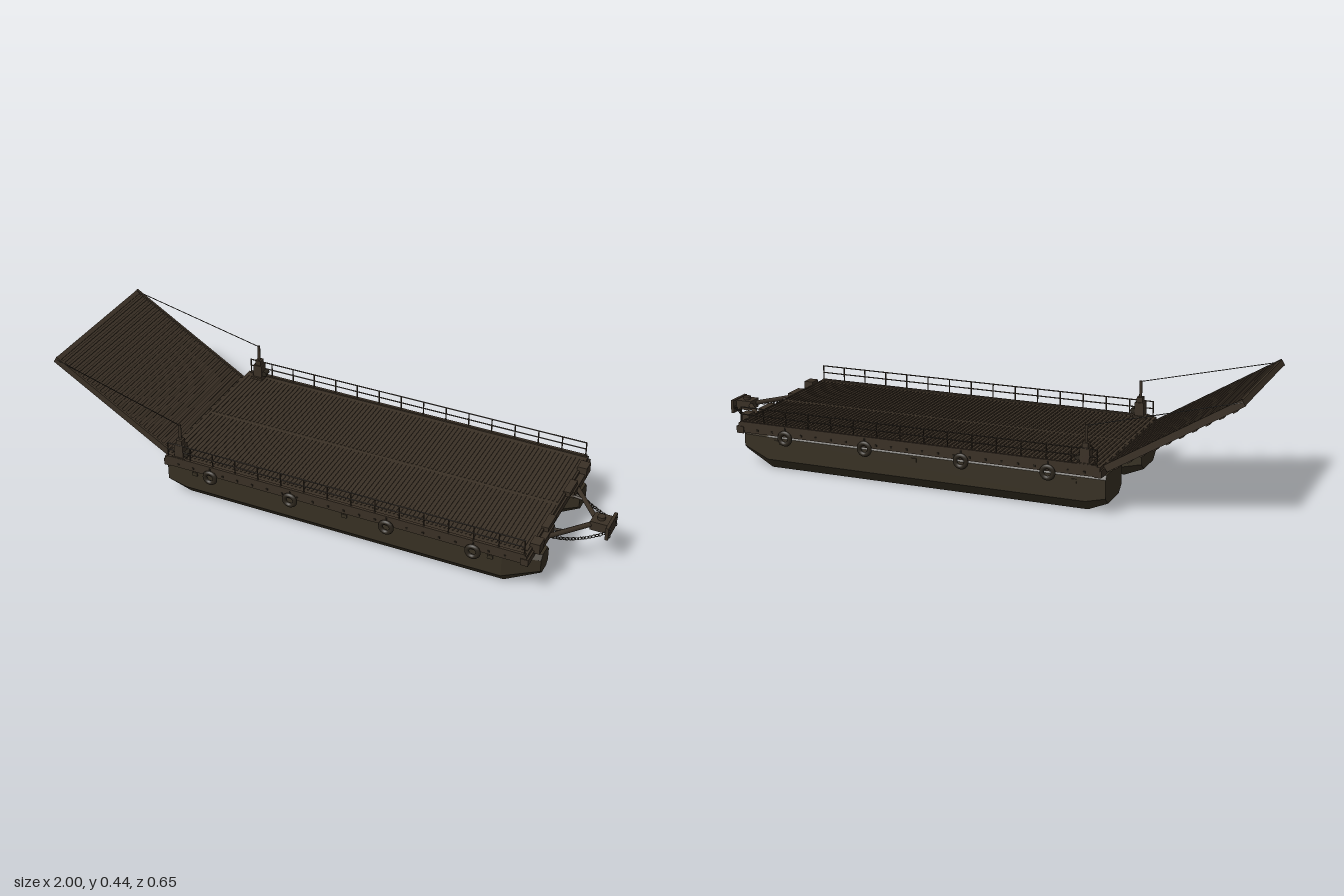
import * as THREE from 'three';

const steel = new THREE.MeshStandardMaterial({ color: 0x3a3025 });
steel.name = 'brownSteel';
const hullPaint = new THREE.MeshStandardMaterial({ color: 0x373023 });
hullPaint.name = 'hullPaint';
const dark = new THREE.MeshStandardMaterial({ color: 0x2a241b });
dark.name = 'darkRubberAndCable';

function add(parent, name, geometry, material, x = 0, y = 0, z = 0) {
  const mesh = new THREE.Mesh(geometry, material);
  mesh.name = name;
  mesh.position.set(x, y, z);
  parent.add(mesh);
  return mesh;
}

// Box given by its low and high corners
function box(parent, name, x0, x1, y0, y1, z0, z1, material = steel) {
  return add(parent, name, new THREE.BoxGeometry(x1 - x0, y1 - y0, Math.abs(z1 - z0)), material,
    (x0 + x1) / 2, (y0 + y1) / 2, (z0 + z1) / 2);
}

// Round bar between two points
function bar(parent, name, a, b, r, material = steel, sides = 6) {
  const p = new THREE.Vector3(...a), q = new THREE.Vector3(...b);
  const mesh = add(parent, name, new THREE.CylinderGeometry(r, r, p.distanceTo(q), sides), material);
  mesh.position.copy(p).lerp(q, 0.5);
  mesh.quaternion.setFromUnitVectors(new THREE.Vector3(0, 1, 0), q.sub(p).normalize());
  return mesh;
}

// Faceted pontoon lofted through eight-sided sections
function pontoonGeometry() {
  // x, bottom half width, bottom y, side half width, lower y, upper y, top half width, top y
  const sections = [
    [-0.55, 0.056, 0.03, 0.086, 0.055, 0.12, 0.076, 0.134],
    [-0.48, 0.053, 0, 0.086, 0.038, 0.12, 0.076, 0.134],
    [0.71, 0.053, 0, 0.086, 0.038, 0.12, 0.076, 0.134],
    [0.83, 0.022, 0.047, 0.038, 0.063, 0.106, 0.024, 0.122],
  ].map(([x, hb, yb, hs, yl, yu, ht, yt]) => [
    [hb, yb], [-hb, yb], [-hs, yl], [-hs, yu], [-ht, yt], [ht, yt], [hs, yu], [hs, yl],
  ].map(([z, y]) => [x, y, z]));
  const pos = [];
  const tri = (a, b, c) => pos.push(...a, ...b, ...c);
  for (let k = 0; k < sections.length - 1; k++) {
    const s = sections[k], t = sections[k + 1];
    for (let i = 0; i < 8; i++) {
      const j = (i + 1) % 8;
      tri(s[i], s[j], t[j]);
      tri(s[i], t[j], t[i]);
    }
  }
  const first = sections[0], last = sections[sections.length - 1];
  for (let i = 1; i < 7; i++) {
    tri(last[0], last[i], last[i + 1]);
    tri(first[0], first[i + 1], first[i]);
  }
  const g = new THREE.BufferGeometry();
  g.setAttribute('position', new THREE.Float32BufferAttribute(pos, 3));
  g.computeVertexNormals();
  return g;
}

function makeDeck() {
  const deck = new THREE.Group();
  deck.name = 'deck';
  box(deck, 'deckPlate', -0.54, 0.805, 0.158, 0.172, -0.317, 0.317);
  // Fine transverse treads in two lanes, leaving a centre seam
  for (let i = 0; i < 88; i++) {
    const x = -0.53 + i * 0.0152;
    for (const s of [-1, 1]) box(deck, 'deckTread', x, x + 0.005, 0.172, 0.1745, s * 0.008, s * 0.288);
  }
  // Cross beams and stringers beneath the plate
  for (let i = 0; i < 14; i++) {
    const x = -0.52 + i * 0.1;
    box(deck, 'crossBeam', x, x + 0.018, 0.138, 0.158, -0.3, 0.3);
  }
  box(deck, 'bowBeam', 0.785, 0.812, 0.135, 0.16, -0.32, 0.32);
  box(deck, 'rampBeam', -0.545, -0.52, 0.135, 0.16, -0.315, 0.315);
  for (const s of [-1, 1]) {
    box(deck, 'sideBeam', -0.53, 0.8, 0.137, 0.158, s * 0.3, s * 0.314);
    box(deck, 'kerb', -0.53, 0.8, 0.172, 0.177, s * 0.306, s * 0.317);
    for (const z of [0.03, 0.11, 0.2]) box(deck, 'stringer', -0.52, 0.79, 0.144, 0.158, s * z, s * (z + 0.012));
    // Clamps that tie the deck to the pontoons
    for (let i = 0; i < 18; i++) {
      const x = -0.5 + i * 0.07;
      box(deck, 'pontoonClamp', x, x + 0.035, 0.128, 0.146, s * 0.106, s * 0.122);
    }
    for (let i = 0; i < 22; i++) {
      const x = -0.49 + i * 0.058;
      box(deck, 'sideBolt', x, x + 0.007, 0.146, 0.153, s * 0.314, s * 0.317, dark);
    }
  }
  return deck;
}

function makeRailing(s) {
  const rail = new THREE.Group();
  rail.name = 'railing';
  const z = s * 0.311;
  for (const y of [0.203, 0.229]) bar(rail, 'handRail', [-0.53, y, z], [0.797, y, z], 0.0022);
  for (let i = 0; i <= 15; i++) {
    const x = -0.528 + i * 0.0882;
    bar(rail, 'railPost', [x, 0.165, z], [x, 0.23, z], 0.0024);
  }
  return rail;
}

function makeRamp() {
  const ramp = new THREE.Group();
  ramp.name = 'loadingRamp';
  ramp.position.set(-0.54, 0.165, 0);
  ramp.rotation.z = -0.545;
  box(ramp, 'rampPlate', -0.525, 0, -0.012, -0.004, -0.272, 0.272);
  for (let i = 0; i < 25; i++) {
    const x = -0.5 + i * 0.02;
    box(ramp, 'rampTread', x, x + 0.009, -0.004, 0.001, -0.268, 0.268);
  }
  box(ramp, 'rampLip', -0.525, -0.508, -0.02, 0, -0.272, 0.272);
  // Ribs on the underside
  for (let i = 0; i < 10; i++) {
    const x = -0.49 + i * 0.05;
    box(ramp, 'rampRib', x, x + 0.016, -0.027, -0.012, -0.268, 0.268);
  }
  for (const s of [-1, 1]) {
    box(ramp, 'rampEdge', -0.525, 0, -0.022, 0.003, s * 0.268, s * 0.277);
    for (const z of [0.08, 0.18]) box(ramp, 'rampStringer', -0.51, -0.01, -0.022, -0.012, s * z, s * (z + 0.012));
  }
  return ramp;
}

function makeWinchTower(s) {
  const tower = new THREE.Group();
  tower.name = 'winchTower';
  box(tower, 'towerBase', -0.51, -0.462, 0.172, 0.18, s * 0.272, s * 0.316);
  box(tower, 'towerBody', -0.502, -0.468, 0.18, 0.228, s * 0.279, s * 0.313);
  box(tower, 'towerCap', -0.496, -0.474, 0.228, 0.247, s * 0.284, s * 0.308);
  bar(tower, 'towerMast', [-0.485, 0.24, s * 0.295], [-0.485, 0.306, s * 0.295], 0.0055, steel, 8);
  bar(tower, 'winchDrum', [-0.46, 0.195, s * 0.283], [-0.46, 0.195, s * 0.309], 0.01, dark, 10);
  bar(tower, 'rampCable', [-0.485, 0.303, s * 0.295], [-0.992, 0.43, s * 0.276], 0.0016, dark, 5);
  return tower;
}

function makeTowBar() {
  const tow = new THREE.Group();
  tow.name = 'towBar';
  for (const s of [-1, 1]) {
    bar(tow, 'towArm', [0.81, 0.148, s * 0.165], [0.935, 0.143, s * 0.012], 0.009, steel, 8);
    bar(tow, 'towBrace', [0.81, 0.145, s * 0.105], [0.865, 0.145, s * 0.097], 0.005);
    box(tow, 'towBracket', 0.8, 0.826, 0.137, 0.162, s * 0.1, s * 0.24);
    box(tow, 'bumperBlock', 0.795, 0.83, 0.15, 0.187, s * 0.217, s * 0.262);
    box(tow, 'lowStep', 0.795, 0.82, 0.16, 0.178, s * 0.07, s * 0.15);
    // Sagging safety chain, each link turned a quarter from the last
    const curve = new THREE.QuadraticBezierCurve3(
      new THREE.Vector3(0.822, 0.14, s * 0.14),
      new THREE.Vector3(0.9, 0.112, s * 0.105),
      new THREE.Vector3(0.99, 0.138, s * 0.036));
    for (let i = 0; i <= 18; i++) {
      const link = add(tow, 'chainLink', new THREE.TorusGeometry(0.0058, 0.0014, 5, 10), dark);
      link.position.copy(curve.getPoint(i / 18));
      const turn = new THREE.Quaternion().setFromAxisAngle(new THREE.Vector3(1, 0, 0), (i % 2) * Math.PI / 2);
      link.quaternion.setFromUnitVectors(new THREE.Vector3(1, 0, 0), curve.getTangent(i / 18)).multiply(turn);
      link.scale.x = 1.25;
    }
  }
  // Coupling head with flanges and bolts
  box(tow, 'couplingBlock', 0.925, 0.985, 0.126, 0.16, -0.03, 0.03);
  box(tow, 'couplingPlate', 0.985, 0.996, 0.115, 0.163, -0.05, 0.05);
  add(tow, 'couplingPin', new THREE.CylinderGeometry(0.014, 0.014, 0.05, 12), steel, 0.955, 0.146, 0);
  for (const y of [0.123, 0.155]) for (const z of [-0.038, 0.038]) {
    bar(tow, 'plateBolt', [0.994, y, z], [1, y, z], 0.004, dark);
  }
  return tow;
}

export function createModel() {
  const model = new THREE.Group();
  model.name = 'pontoonFerry';
  const hull = pontoonGeometry();
  model.add(makeDeck(), makeRamp(), makeTowBar());
  for (const s of [-1, 1]) {
    add(model, 'pontoon', hull, hullPaint, 0, 0, s * 0.198);
    model.add(makeRailing(s), makeWinchTower(s));
    // Tyre fenders hung along the sides
    for (const x of [-0.36, -0.05, 0.31, 0.62]) {
      const tyre = add(model, 'tyreFender', new THREE.TorusGeometry(0.02, 0.0085, 8, 20), dark, x, 0.134, s * 0.319);
      tyre.scale.z = 0.9;
      bar(model, 'fenderStrap', [x, 0.15, s * 0.318], [x, 0.172, s * 0.315], 0.003, dark);
    }
    // Mooring lugs on the pontoon sides
    for (const x of [-0.45, 0.13, 0.66]) box(model, 'hullLug', x, x + 0.02, 0.098, 0.112, s * 0.282, s * 0.288, hullPaint);
  }
  // Ramp hinges
  for (let i = 0; i < 8; i++) {
    const z = -0.245 + i * 0.07;
    bar(model, 'rampHinge', [-0.541, 0.163, z - 0.014], [-0.541, 0.163, z + 0.014], 0.011, steel, 8);
  }
  return model;
}
